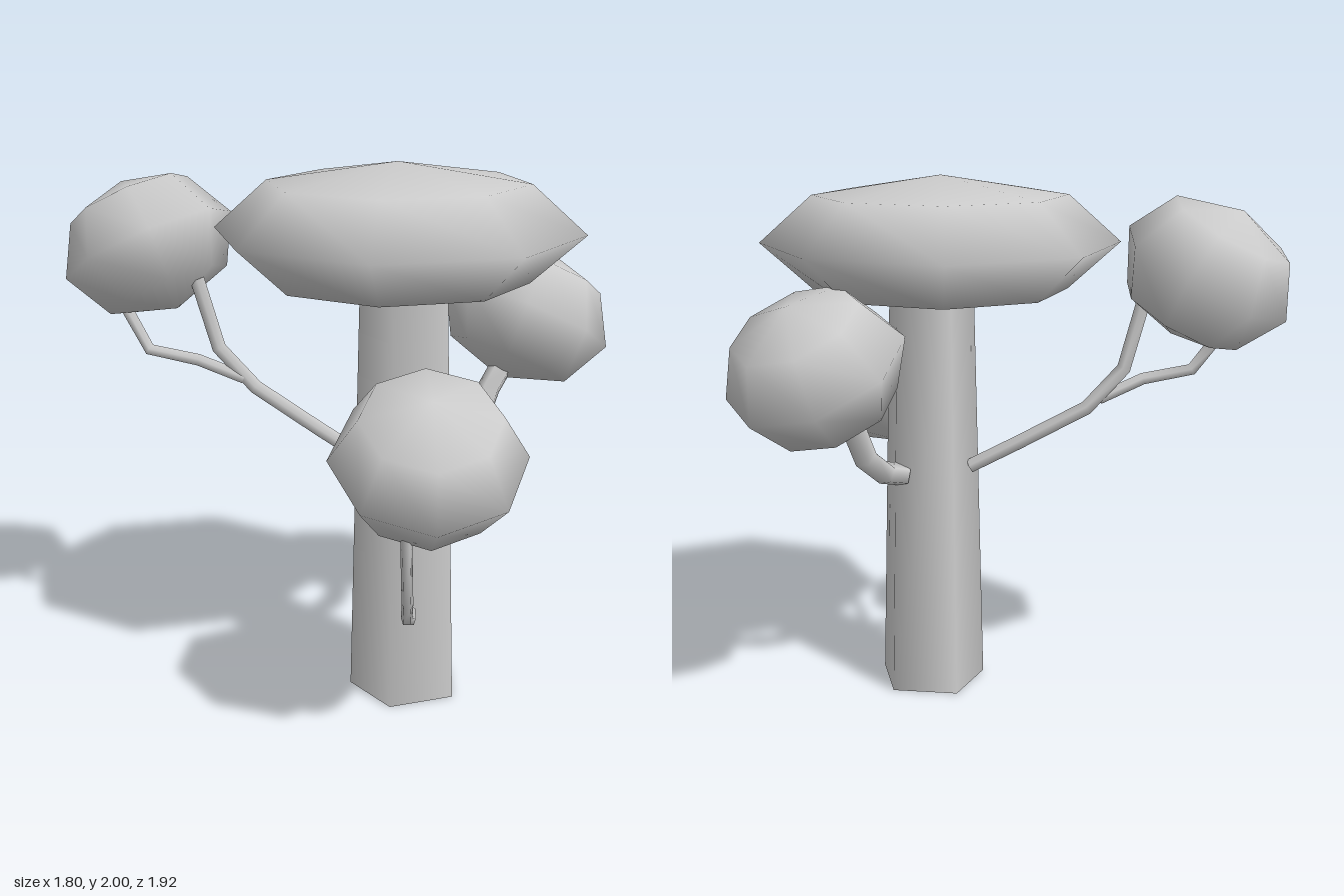
import * as THREE from 'three';

const material = new THREE.MeshStandardMaterial({ color: 0xcccccc });

function addMesh(parent, name, geometry) {
  const mesh = new THREE.Mesh(geometry, material);
  mesh.name = name;
  parent.add(mesh);
  return mesh;
}

// Faceted ellipsoid of leaves, drooping outward by tilt and turned by heading
function addFoliage(parent, name, centre, radius, halfHeight, heading = 0, tilt = 0) {
  const mesh = addMesh(parent, name, new THREE.SphereGeometry(1, 8, 4));
  mesh.scale.set(radius, halfHeight, radius);
  mesh.rotation.set(0, heading, tilt, 'YXZ');
  mesh.position.set(...centre);
}

// Five-sided tube with one ring per path point, closed at both ends
function addBranch(parent, name, radius, path) {
  const branch = new THREE.Group();
  branch.name = name;
  parent.add(branch);
  const points = path.map((p) => new THREE.Vector3(...p));
  const curve = new THREE.CatmullRomCurve3(points);
  curve.getPointAt = curve.getPoint;
  curve.getTangentAt = curve.getTangent;
  addMesh(branch, name + 'Limb', new THREE.TubeGeometry(curve, points.length - 1, radius, 5));
  for (const t of [0, 1]) {
    const cap = addMesh(branch, name + (t ? 'Tip' : 'Base'), new THREE.CircleGeometry(radius, 5));
    const direction = curve.getTangent(t).multiplyScalar(t ? 1 : -1);
    cap.position.copy(curve.getPoint(t));
    cap.quaternion.setFromUnitVectors(new THREE.Vector3(0, 0, 1), direction);
  }
}

export function createModel() {
  const tree = new THREE.Group();
  tree.name = 'tree';

  // Five-sided tapering trunk with a corner toward +x
  const trunk = addMesh(tree, 'trunk',
    new THREE.CylinderGeometry(0.17, 0.214, 1.6, 5, 1, false, Math.PI / 2));
  trunk.position.set(-0.017, 0.8, 0.174);

  // Broad flat crown
  addFoliage(tree, 'crown', [-0.015, 1.753, 0.112], 0.672, 0.247);

  // Three side clumps, equal in shape and each drooping away from the trunk
  const clumps = [
    ['leftFoliage', [0.605, 1.368, 0.123], 0],
    ['frontFoliage', [-0.302, 1.1, 0.655], -2.15],
    ['backFoliage', [-0.59, 1.655, -0.68], 1.945],
  ];
  for (const [name, centre, heading] of clumps) {
    addFoliage(tree, name, centre, 0.336, 0.262, heading, -0.497);
  }

  // Branches carrying the clumps
  addBranch(tree, 'leftBranch', 0.046, [
    [0.15, 0.88, 0.16], [0.24, 0.905, 0.157], [0.35, 0.99, 0.15],
    [0.41, 1.11, 0.143], [0.48, 1.19, 0.137], [0.55, 1.27, 0.13],
  ]);
  addBranch(tree, 'frontBranch', 0.021, [
    [-0.12, 0.388, 0.33], [-0.22, 0.425, 0.46], [-0.315, 0.49, 0.56],
    [-0.375, 0.59, 0.64], [-0.42, 0.82, 0.69], [-0.43, 0.95, 0.7],
  ]);
  addBranch(tree, 'backBranch', 0.028, [
    [-0.09, 0.89, 0.03], [-0.2, 0.99, -0.12], [-0.35, 1.135, -0.33],
    [-0.45, 1.285, -0.425], [-0.51, 1.55, -0.467],
  ]);
  addBranch(tree, 'backTwig', 0.023, [
    [-0.385, 1.17, -0.36], [-0.52, 1.24, -0.46], [-0.655, 1.275, -0.59],
    [-0.69, 1.41, -0.68], [-0.69, 1.5, -0.71],
  ]);

  return tree;
}
